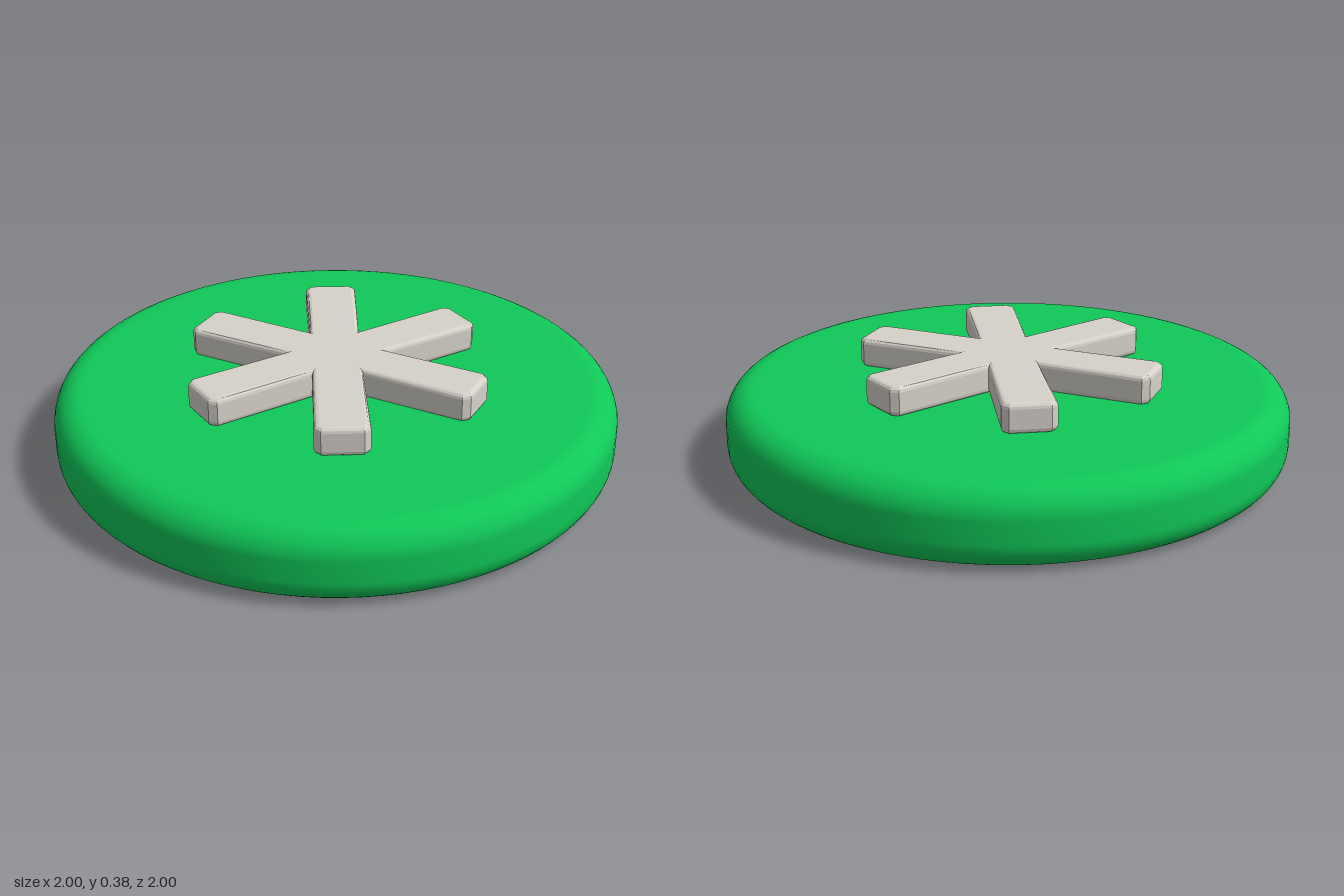
import * as THREE from 'three';

const green = new THREE.MeshStandardMaterial({ name: 'green', color: 0x10c858 });
const lightGrey = new THREE.MeshStandardMaterial({ name: 'light grey', color: 0xd6d2ca });

// Round disc with softly rounded rims
function createDisc() {
  const height = 0.28, r = 0.1;
  const profile = [new THREE.Vector2(0, 0), new THREE.Vector2(0.88, 0)];
  const addRim = (cy, start) => {
    for (let i = 0; i <= 8; i++) {
      const a = start + (i / 8) * Math.PI / 2;
      profile.push(new THREE.Vector2(1 - r + r * Math.cos(a), cy + r * Math.sin(a)));
    }
  };
  addRim(r, -Math.PI / 2);
  addRim(height - r, 0);
  profile.push(new THREE.Vector2(0.88, height), new THREE.Vector2(0, height));
  const disc = new THREE.Mesh(new THREE.LatheGeometry(profile, 96), green);
  disc.name = 'disc';
  return disc;
}

// Six-armed raised star with bevelled edges
function createStar() {
  const bevel = 0.018, half = 0.094 - bevel, reach = 0.55 - bevel, cut = 0.012;
  const inner = 2 * half; // where neighbouring arms meet
  const points = [];
  for (let i = 0; i < 6; i++) {
    const a = THREE.MathUtils.degToRad(60 * i - 6.2);
    const along = (u, v) => points.push(new THREE.Vector2(
      u * Math.cos(a) - v * Math.sin(a), u * Math.sin(a) + v * Math.cos(a)));
    along(reach - cut, -half);
    along(reach, -half + cut);
    along(reach, half - cut);
    along(reach - cut, half);
    along(inner * Math.cos(Math.PI / 6), half);
  }
  const geometry = new THREE.ExtrudeGeometry(new THREE.Shape(points), {
    depth: 0.105 - 2 * bevel, bevelEnabled: true,
    bevelThickness: bevel, bevelSize: bevel, bevelSegments: 3,
  });
  geometry.rotateX(-Math.PI / 2);
  geometry.translate(0, 0.28 + bevel, 0);
  const star = new THREE.Mesh(geometry, lightGrey);
  star.name = 'star';
  return star;
}

export function createModel() {
  const model = new THREE.Group();
  model.name = 'starDisc';
  model.add(createDisc(), createStar());
  return model;
}
